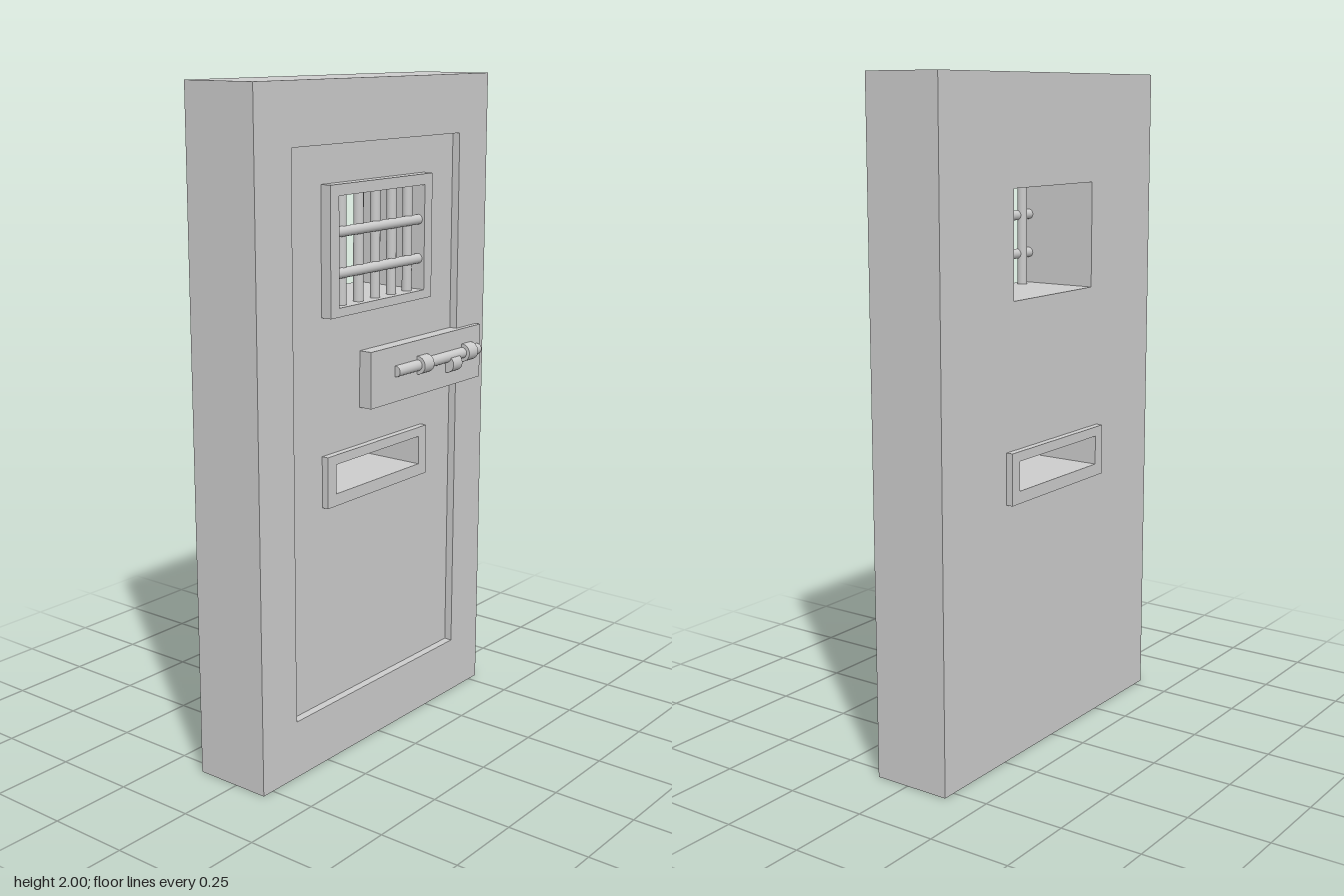
import * as THREE from 'three';

const BACK = -0.136, PANEL = 0.082, FRONT = 0.107;
const material = new THREE.MeshStandardMaterial({ color: 0xcccccc });

// Rectangles are [left, bottom, right, top]
const WINDOW = [-0.202, 1.37, 0.202, 1.684];
const SLOT = [-0.202, 0.823, 0.202, 0.911];
const RECESS = [-0.392, 0.176, 0.392, 1.825];
const OUTER = [-0.54, 0, 0.54, 2];

export function createModel() {
  const model = new THREE.Group();
  model.name = 'cellDoor';

  const add = (name, geometry, x = 0, y = 0, z = 0) => {
    const mesh = new THREE.Mesh(geometry, material);
    mesh.name = name;
    mesh.position.set(x, y, z);
    model.add(mesh);
    return mesh;
  };

  const trace = (path, [l, b, r, t]) => {
    path.moveTo(l, b);
    path.lineTo(r, b);
    path.lineTo(r, t);
    path.lineTo(l, t);
    path.closePath();
    return path;
  };

  // Rectangular slab with rectangular holes, between two depths
  const slab = (name, rect, holes, z0, z1) => {
    const shape = trace(new THREE.Shape(), rect);
    holes.forEach((h) => shape.holes.push(trace(new THREE.Path(), h)));
    const geometry = new THREE.ExtrudeGeometry(shape, { depth: z1 - z0, bevelEnabled: false });
    return add(name, geometry, 0, 0, z0);
  };

  // Cylinder lying along x
  const rodX = (name, x0, x1, y, z, radius) => {
    const geometry = new THREE.CylinderGeometry(radius, radius, x1 - x0, 20).rotateZ(Math.PI / 2);
    return add(name, geometry, (x0 + x1) / 2, y, z);
  };

  // Door body and raised surround that leaves the panel recessed
  slab('doorPanel', OUTER, [WINDOW, SLOT], BACK, PANEL);
  slab('doorSurround', OUTER, [RECESS], PANEL, FRONT);

  // Trim around the openings
  const slotTrim = [-0.24, 0.786, 0.24, 0.94];
  slab('windowTrim', [-0.24, 1.344, 0.24, 1.716], [WINDOW], PANEL, 0.116);
  slab('slotTrimFront', slotTrim, [SLOT], PANEL, 0.103);
  slab('slotTrimBack', slotTrim, [SLOT], -0.157, BACK);

  // Window bars
  for (let i = -2; i <= 2; i++) {
    add('verticalBar', new THREE.CylinderGeometry(0.015, 0.015, 0.314, 16), 0.004 + i * 0.078, 1.527, 0.083);
  }
  for (const y of [1.463, 1.58]) rodX('crossBar', -0.202, 0.202, y, 0.093, 0.015);

  // Sliding bolt on its plate
  slab('lockPlate', [-0.066, 1.052, 0.5, 1.222], [], PANEL, 0.124);
  rodX('bolt', 0.049, 0.481, 1.146, 0.127, 0.017);
  for (const x of [0.16, 0.397]) rodX('boltBracket', x, x + 0.048, 1.146, 0.127, 0.028);
  rodX('boltHandle', 0.312, 0.36, 1.124, 0.127, 0.027);

  return model;
}
